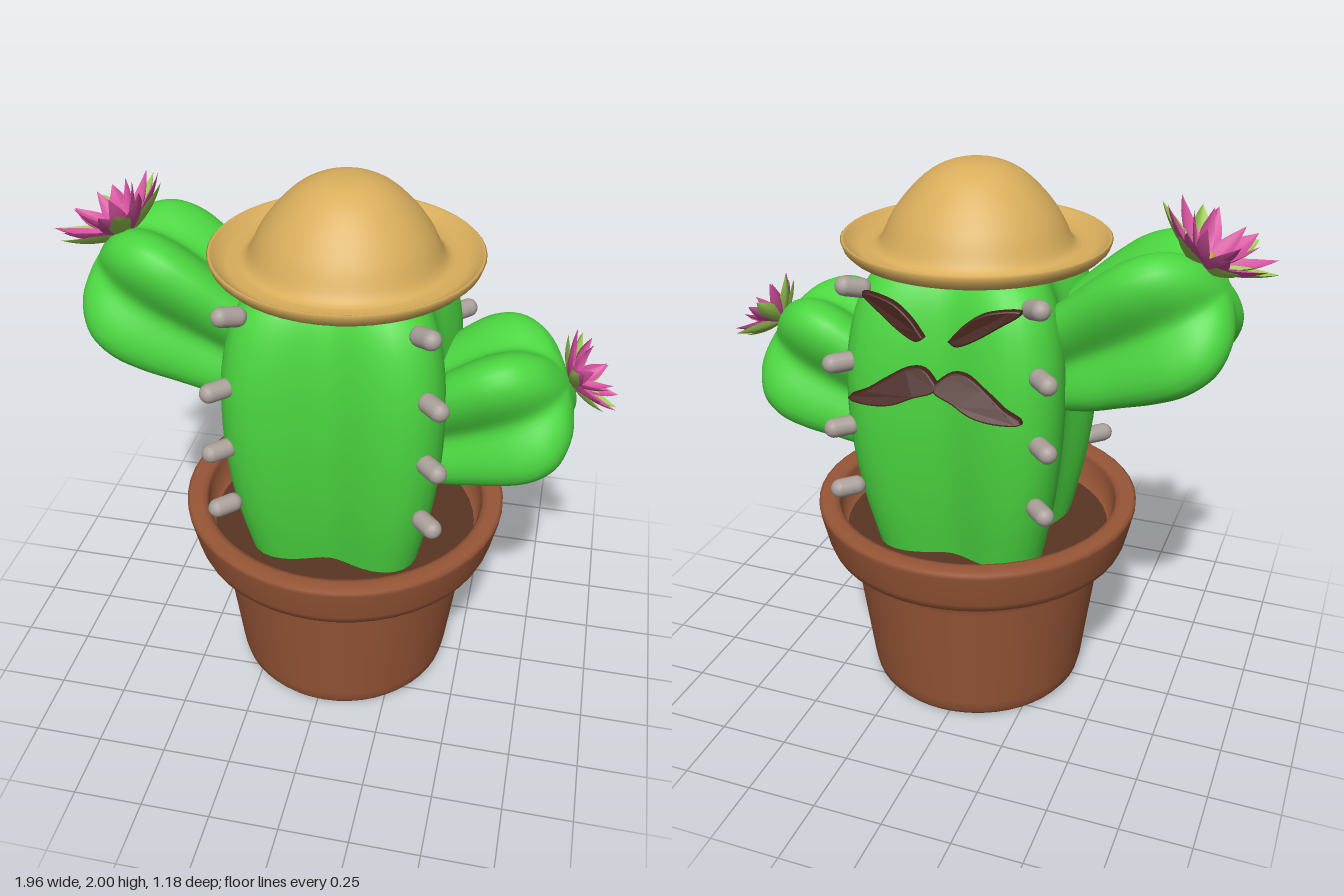
import * as THREE from 'three';
import { mergeVertices } from 'three/addons/utils/BufferGeometryUtils.js';

const mat = (color, side = THREE.FrontSide) => new THREE.MeshStandardMaterial({ color, side });
const GREEN = mat(0x4bd640), CLAY = mat(0x985637), SOIL = mat(0x5a3524), STRAW = mat(0xd9ae5c, THREE.DoubleSide);
const SPINE = mat(0xaaa09a), BROWN = mat(0x45211a), YELLOW = mat(0xc9a045);
const PETAL = mat(0xd24f9c, THREE.DoubleSide), LEAF = mat(0x97c950, THREE.DoubleSide);
const CX = 0.025; // shared axis of pot, body and hat
const V2 = ([x, y]) => new THREE.Vector2(x, y);

function add(parent, name, geo, material, x = 0, y = 0, z = 0) {
  const mesh = new THREE.Mesh(geo, material);
  mesh.name = name;
  mesh.position.set(x, y, z);
  parent.add(mesh);
  return mesh;
}

// Smooth lathe whose radius swells into four lobes on the diagonals
function lobed(profile, base, depth) {
  const pts = new THREE.SplineCurve(profile.map(V2)).getPoints(36);
  pts.forEach(p => { p.x = Math.max(p.x, 0); });
  const geo = new THREE.LatheGeometry(pts, 64);
  const p = geo.attributes.position;
  for (let i = 0; i < p.count; i++) {
    const k = base - depth * Math.cos(4 * Math.atan2(p.getZ(i), p.getX(i)));
    p.setXYZ(i, p.getX(i) * k, p.getY(i), p.getZ(i) * k);
  }
  geo.deleteAttribute('uv');
  geo.deleteAttribute('normal');
  const merged = mergeVertices(geo, 1e-5);
  merged.computeVertexNormals();
  return merged;
}

// Pointed, cupped petal reaching out to radius r and up to height h
function petalGeometry(r, h, width) {
  const geo = new THREE.PlaneGeometry(1, 1, 4, 8);
  const p = geo.attributes.position;
  for (let i = 0; i < p.count; i++) {
    const s = p.getX(i) * 2, t = p.getY(i) + 0.5;
    const w = width * (0.12 * (1 - t) + 0.88 * Math.sin(Math.PI * Math.pow(t, 0.85)));
    const out = r * (1.2 * t - 0.2 * t * t);
    const up = h * (0.5 * t + 0.5 * t * t) + 0.3 * w * s * s;
    p.setXYZ(i, out, up, s * w / 2);
  }
  geo.computeVertexNormals();
  return geo;
}

function flower(name, x, y, tilt, scale) {
  const g = new THREE.Group();
  g.name = name;
  const rings = [
    ['leaf', 6, 0.22, 0.12, 0.09, 0.0, LEAF],
    ['outerPetal', 8, 0.205, 0.14, 0.085, 0.3, PETAL],
    ['innerPetal', 6, 0.12, 0.16, 0.065, 0.1, PETAL],
  ];
  for (const [part, n, r, h, w, turn, m] of rings) {
    const geo = petalGeometry(r, h, w);
    for (let i = 0; i < n; i++) add(g, part, geo, m).rotation.y = turn + (i / n) * Math.PI * 2;
  }
  add(g, 'flowerCentre', new THREE.SphereGeometry(0.025, 12, 8), YELLOW, 0, 0.04, 0);
  g.position.set(x, y, 0);
  g.rotation.z = tilt;
  g.scale.setScalar(scale);
  return g;
}

// Thin curved facial-hair piece on the -z face, leaning outward by slope below yTop
function facePiece(parent, name, outline, side, yTop, zTop, slope) {
  const pts = outline.map(([x, y]) => new THREE.Vector2(CX + side * x, y));
  const curve = new THREE.SplineCurve([...pts, pts[0]]);
  const geo = new THREE.ExtrudeGeometry(new THREE.Shape(curve.getPoints(40)), {
    depth: 0.014, bevelThickness: 0.008, bevelSize: 0.006, bevelSegments: 2,
  });
  const p = geo.attributes.position;
  for (let i = 0; i < p.count; i++) {
    const dx = p.getX(i) - CX;
    p.setZ(i, p.getZ(i) + zTop - slope * (yTop - p.getY(i)) + 0.35 * dx * dx);
  }
  geo.computeVertexNormals();
  add(parent, name, geo, BROWN);
}

export function createModel() {
  const model = new THREE.Group();
  model.name = 'pottedCactus';

  // Pot with a heavy flared rim, and soil inside
  const pot = [[0, 0], [0.36, 0], [0.385, 0.005], [0.4, 0.025], [0.41, 0.07], [0.465, 0.5], [0.475, 0.54],
    [0.49, 0.557], [0.53, 0.567], [0.553, 0.58], [0.565, 0.61], [0.592, 0.73], [0.592, 0.748], [0.58, 0.756],
    [0.54, 0.756], [0.522, 0.75], [0.513, 0.735], [0.49, 0.6], [0, 0.6]];
  add(model, 'pot', new THREE.LatheGeometry(pot.map(V2), 48), CLAY, CX);
  add(model, 'soil', new THREE.CylinderGeometry(0.492, 0.485, 0.03, 48), SOIL, CX, 0.61);

  // Four-lobed body
  const trunk = [[0.29, 0.58], [0.335, 0.8], [0.362, 1.0], [0.373, 1.2], [0.365, 1.4], [0.325, 1.58],
    [0.25, 1.69], [0.12, 1.76], [0, 1.78]];
  add(model, 'body', lobed(trunk, 1.09, 0.2), GREEN, CX);

  // Four-lobed arms, the model's right one raised higher
  const arm = (name, x, y, tilt, length) => {
    const profile = [[0.13, -0.12], [0.18, 0.03], [0.205, 0.15], [0.23, 0.28], [0.238, 0.39],
      [0.215, 0.49], [0.15, 0.565], [0.07, 0.595], [0, 0.6]];
    const mesh = add(model, name, lobed(profile, 1.04, 0.25), GREEN, x, y);
    mesh.rotation.z = tilt;
    mesh.scale.y = length / 0.6;
  };
  arm('rightArm', -0.31, 1.35, Math.PI / 3, 0.61);
  arm('leftArm', 0.3, 1.085, -1.12, 0.55);
  model.add(flower('rightFlower', -0.745, 1.71, 0.48, 1));
  model.add(flower('leftFlower', 0.8, 1.325, -0.95, 0.74));

  // Blunt spines along each lobe
  const spine = new THREE.CapsuleGeometry(0.034, 0.06, 6, 14);
  spine.rotateZ(-Math.PI / 2);
  for (const sx of [-1, 1]) for (const sz of [-1, 1]) {
    const lift = sx * sz > 0 ? 0.035 : 0;
    [[0.88, 0.505], [1.12, 0.515], [1.36, 0.508], [1.6, 0.45]].forEach(([y, r], i) => {
      const d = r * Math.SQRT1_2;
      const mesh = add(model, 'spine', spine, SPINE, CX + sx * d, y + (i === 3 ? 0.02 : lift), sz * d);
      mesh.rotation.set(0, Math.atan2(-sz, sx), i === 3 ? 0.25 : 0, 'YXZ');
    });
  }

  // Eyebrows and moustache
  const brow = [[0.05, 1.5], [0.1, 1.555], [0.17, 1.598], [0.27, 1.61], [0.2, 1.56], [0.13, 1.515], [0.075, 1.49]];
  const moustache = [[0, 1.345], [0.05, 1.38], [0.11, 1.375], [0.18, 1.335], [0.24, 1.295], [0.3, 1.265],
    [0.22, 1.262], [0.14, 1.275], [0.07, 1.305], [0.01, 1.325]];
  for (const side of [-1, 1]) {
    facePiece(model, 'eyebrow', brow, side, 1.61, -0.365, 0.15);
    facePiece(model, 'moustacheHalf', moustache, side, 1.38, -0.375, 0.65);
  }

  // Straw hat: domed crown, dished brim, hollow underside
  const crown = new THREE.SplineCurve([[0, 2], [0.08, 1.992], [0.16, 1.955], [0.235, 1.885], [0.29, 1.81],
    [0.33, 1.73], [0.36, 1.71]].map(V2)).getPoints(24);
  const brim = [[0.4, 1.708], [0.43, 1.72], [0.45, 1.742], [0.458, 1.746], [0.464, 1.74], [0.455, 1.715],
    [0.435, 1.695], [0.41, 1.687], [0.35, 1.69], [0.32, 1.705], [0.275, 1.8], [0.22, 1.875], [0.15, 1.935],
    [0.07, 1.97], [0, 1.975]].map(V2);
  add(model, 'hat', new THREE.LatheGeometry([...crown, ...brim].reverse(), 48), STRAW, CX);

  return model;
}
